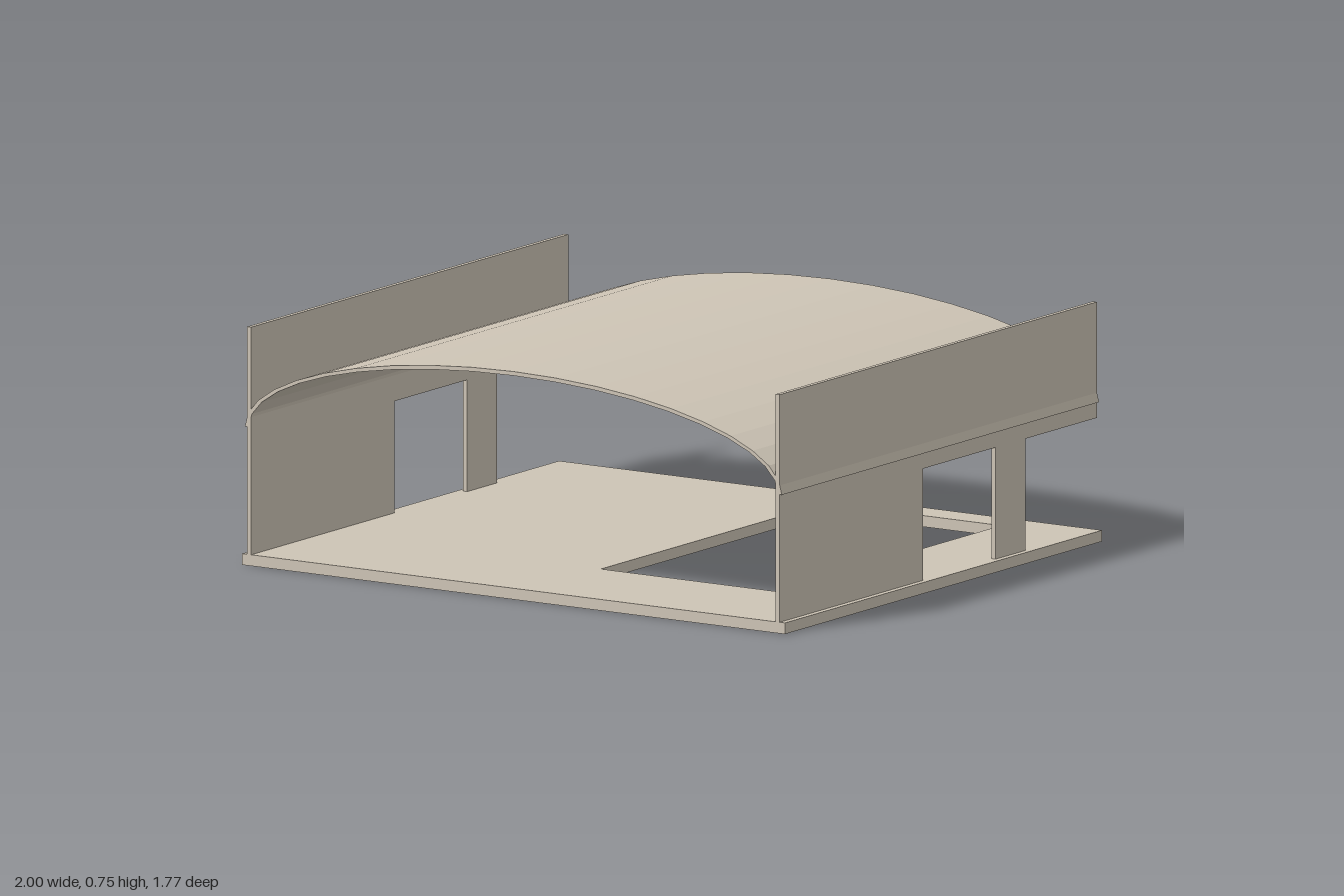
import * as THREE from 'three';

const HALF_DEPTH = 0.884;
const FLOOR_TOP = 0.035;

function shapeFrom(points) {
  return new THREE.Shape(points.map(([x, y]) => new THREE.Vector2(x, y)));
}

function extrude(shape, depth) {
  return new THREE.ExtrudeGeometry(shape, { depth, bevelEnabled: false, steps: 1 });
}

export function createModel() {
  const group = new THREE.Group();
  group.name = 'vaultedHall';
  const plaster = new THREE.MeshStandardMaterial({ color: 0xcdc4b5 });
  plaster.name = 'warm plaster';

  const add = (name, geometry) => {
    const mesh = new THREE.Mesh(geometry, plaster);
    mesh.name = name;
    group.add(mesh);
    return mesh;
  };

  // Floor slab with a rectangular opening (shape y becomes -z)
  const slab = shapeFrom([[-1, -HALF_DEPTH], [1, -HALF_DEPTH], [1, HALF_DEPTH], [-1, HALF_DEPTH]]);
  slab.holes.push(shapeFrom([[0.055, -0.48], [0.055, 0.775], [0.7, 0.775], [0.7, -0.48]]));
  add('floorSlab', extrude(slab, FLOOR_TOP).rotateX(-Math.PI / 2));

  // Side walls: solid front, a doorway, a pier and an open rear bay (shape x is -z)
  const lintel = 0.385;
  const wall = shapeFrom([
    [-HALF_DEPTH, FLOOR_TOP], [-0.085, FLOOR_TOP], [-0.085, lintel],
    [0.32, lintel], [0.32, FLOOR_TOP], [0.485, FLOOR_TOP], [0.485, lintel],
    [HALF_DEPTH, lintel], [HALF_DEPTH, 0.748], [-HALF_DEPTH, 0.748],
  ]);
  const thickness = 0.015;
  for (const [name, x] of [['leftWall', 0.966], ['rightWall', -0.966 - thickness]]) {
    add(name, extrude(wall, thickness).rotateY(Math.PI / 2)).position.x = x;
  }

  // Thin half-elliptical vault spanning the walls
  const segments = 20;
  const arc = (a, b) => Array.from({ length: segments + 1 }, (_, i) => {
    const t = (i / segments) * Math.PI;
    return [a * Math.cos(t), 0.435 + b * Math.sin(t)];
  });
  const vault = shapeFrom([...arc(0.989, 0.279), ...arc(0.975, 0.266).reverse()]);
  add('vaultedRoof', extrude(vault, HALF_DEPTH * 2)).position.z = -HALF_DEPTH;

  return group;
}
